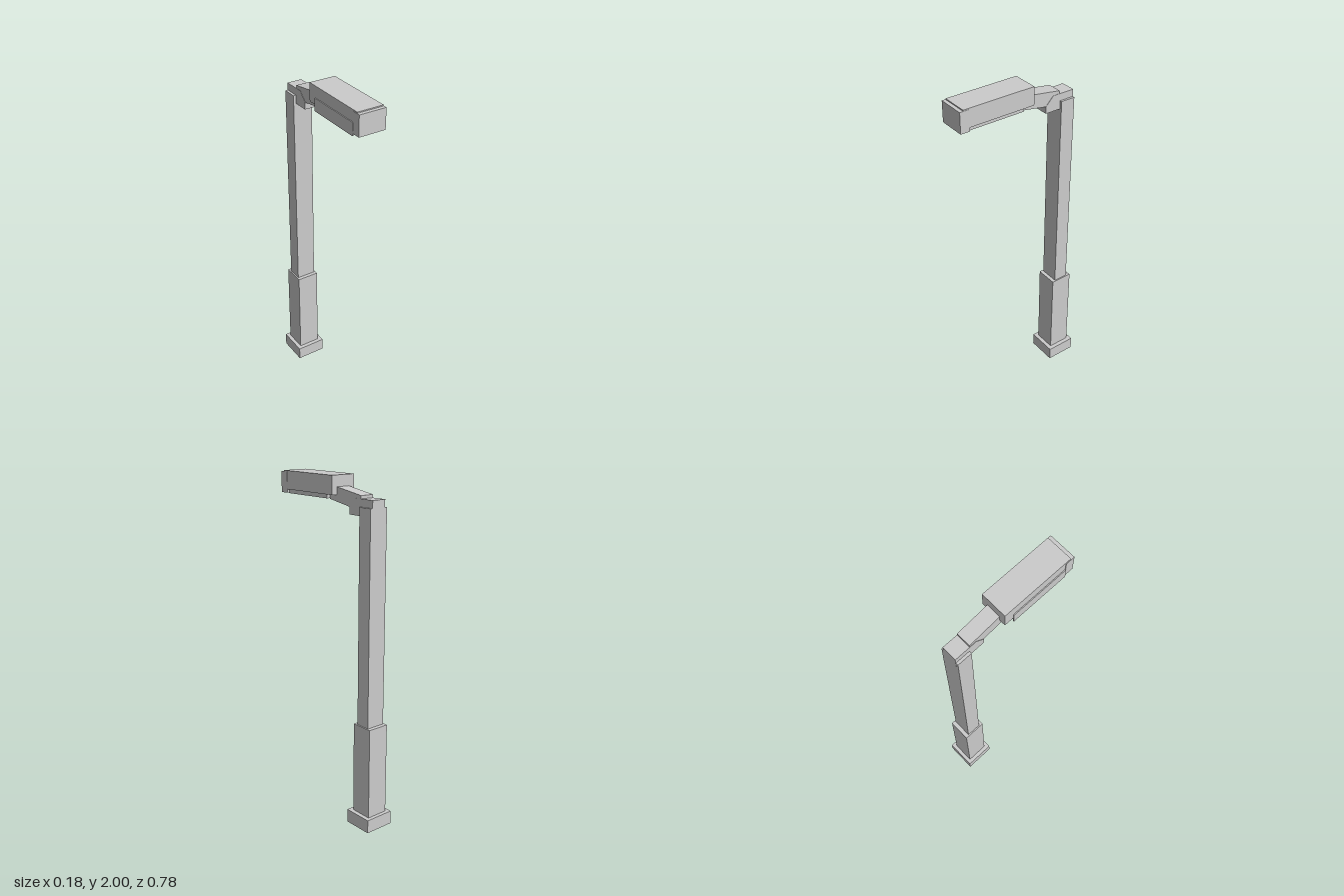
import * as THREE from 'three';

const material = new THREE.MeshStandardMaterial({ color: 0xcccccc, flatShading: true });

// Box given by its minimum and maximum on each axis
function block(name, [x0, x1], [y0, y1], [z0, z1]) {
  const mesh = new THREE.Mesh(new THREE.BoxGeometry(x1 - x0, y1 - y0, z1 - z0), material);
  mesh.name = name;
  mesh.position.set((x0 + x1) / 2, (y0 + y1) / 2, (z0 + z1) / 2);
  return mesh;
}

// Side profile of [z, y] points, extruded symmetrically across x
function sidePlate(name, points, width) {
  const shape = new THREE.Shape(points.map(([z, y]) => new THREE.Vector2(-z, y)));
  const geometry = new THREE.ExtrudeGeometry(shape, { depth: width, bevelEnabled: false });
  geometry.translate(0, 0, -width / 2);
  geometry.rotateY(Math.PI / 2);
  const mesh = new THREE.Mesh(geometry, material);
  mesh.name = name;
  return mesh;
}

export function createModel() {
  const model = new THREE.Group();
  model.name = 'streetLamp';

  // Stepped square post
  const post = new THREE.Group();
  post.name = 'post';
  post.add(
    block('foot', [-0.09, 0.09], [0, 0.08], [-0.392, -0.213]),
    block('lowerSleeve', [-0.067, 0.065], [0.08, 0.625], [-0.37, -0.237]),
    block('pole', [-0.059, 0.057], [0.625, 1.848], [-0.346, -0.259]),
  );

  // Bracket wrapping the pole top, and the rising arm
  const arm = new THREE.Group();
  arm.name = 'arm';
  arm.add(
    sidePlate('bracket', [
      [-0.347, 1.8], [-0.165, 1.8], [-0.165, 1.842], [-0.212, 1.89], [-0.347, 1.89],
    ], 0.088),
    sidePlate('risingArm', [
      [-0.255, 1.825], [-0.165, 1.84], [0, 1.868], [0, 1.945], [-0.055, 1.938], [-0.255, 1.907],
    ], 0.085),
  );

  // Lamp head with front cap, light panel below and side cover
  const head = new THREE.Group();
  head.name = 'lampHead';
  head.add(
    block('housing', [-0.078, 0.077], [1.895, 2], [-0.06, 0.371]),
    block('frontCap', [-0.081, 0.079], [1.875, 1.994], [0.338, 0.392]),
    block('lightPanel', [-0.077, 0.065], [1.872, 1.9], [-0.003, 0.34]),
    block('sideCover', [-0.083, -0.075], [1.862, 1.935], [-0.005, 0.34]),
  );

  model.add(post, arm, head);
  return model;
}
